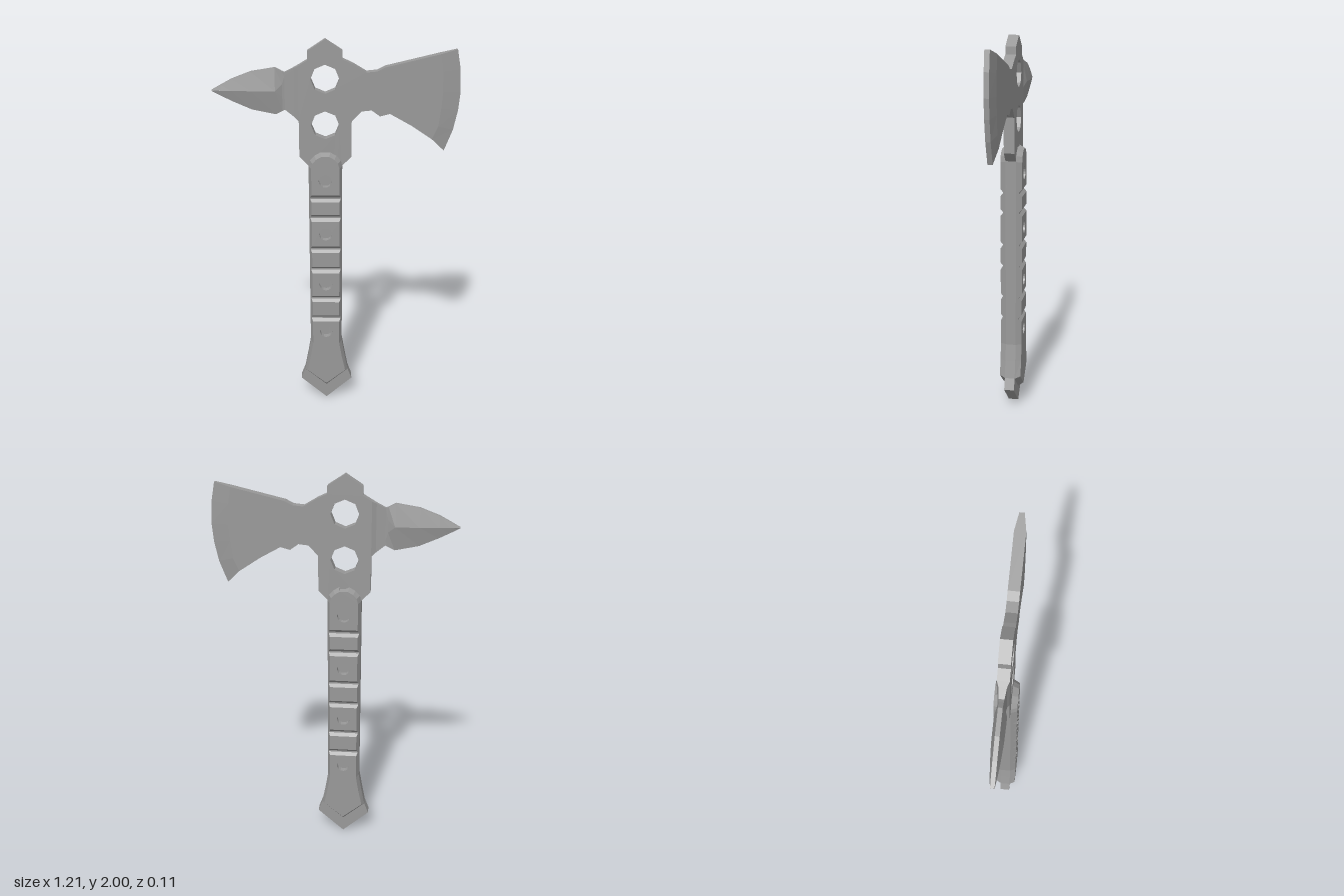
import * as THREE from 'three';

const CX = -0.053;      // handle axis
const PLATE = 0.027;    // half thickness of the steel plate
const FACE = 0.057;     // half thickness of the grip
const material = new THREE.MeshStandardMaterial({ color: 0x999999, flatShading: true });

function addMesh(parent, name, geometry) {
  const mesh = new THREE.Mesh(geometry, material);
  mesh.name = name;
  parent.add(mesh);
  return mesh;
}

// Skins a list of rings (arrays of [x, y, z]) and closes both ends.
function loft(rings, skip = () => false) {
  const pos = [];
  const tri = (a, b, c) => pos.push(...a, ...b, ...c);
  const n = rings[0].length;
  for (let i = 0; i < rings.length - 1; i++) {
    for (let j = 0; j < n; j++) {
      if (skip(i, j)) continue;
      const k = (j + 1) % n, r = rings[i], s = rings[i + 1];
      tri(r[j], r[k], s[k]);
      tri(r[j], s[k], s[j]);
    }
  }
  const first = rings[0], last = rings[rings.length - 1];
  for (let j = 1; j < n - 1; j++) {
    tri(first[0], first[j + 1], first[j]);
    tri(last[0], last[j], last[j + 1]);
  }
  const g = new THREE.BufferGeometry();
  g.setAttribute('position', new THREE.Float32BufferAttribute(pos, 3));
  g.computeVertexNormals();
  return g;
}

// Outlines run clockwise, holes counter-clockwise, so that hole walls face inwards
const shapeOf = (pts) => new THREE.Shape(pts.map(([x, y]) => new THREE.Vector2(x, y)));

function roundHole(x, y, r, sides) {
  const pts = [];
  for (let i = 0; i < sides; i++) {
    const a = Math.PI / 2 + (i / sides) * Math.PI * 2;
    pts.push(new THREE.Vector2(x + r * Math.cos(a), y + r * Math.sin(a)));
  }
  return new THREE.Path(pts);
}

function slab(shape, z, depth) {
  return new THREE.ExtrudeGeometry(shape, { depth, bevelEnabled: false }).translate(0, 0, z);
}

// Blade bevel: inner line and cutting edge, bottom to top
const bevelInner = [[0.476, 1.515], [0.505, 1.58], [0.515, 1.67], [0.52, 1.75], [0.515, 1.85], [0.5, 1.932]];
const bevelOuter = [[0.54, 1.453], [0.58, 1.56], [0.6, 1.66], [0.607, 1.75], [0.6, 1.86], [0.582, 1.953]];

// Steel plate: head, tang and pommel in one piece, with two holes in the head
function plateGeometry() {
  const tangRight = [[0.085, 1.378], [0.085, 0.37], [0.1, 0.28], [0.118, 0.185], [0.14, 0.125]];
  const shape = shapeOf([
    [CX, 2], [0.032, 1.945], [0.032, 1.907], [0.08, 1.885], [0.148, 1.845], [0.2, 1.85], [0.24, 1.87],
    ...[...bevelInner].reverse(),
    [0.37, 1.585], [0.265, 1.643], [0.217, 1.63], [0.175, 1.66], [0.127, 1.655], [0.078, 1.605], [0.078, 1.425],
    ...tangRight.map(([w, y]) => [CX + w, y]),
    [CX, 0],
    ...[...tangRight].reverse().map(([w, y]) => [CX - w, y]),
    [-0.183, 1.425], [-0.183, 1.605], [-0.183, 1.875], [-0.138, 1.902], [-0.138, 1.945],
  ]);
  shape.holes.push(roundHole(CX, 1.812, 0.07, 8), roundHole(CX, 1.585, 0.07, 8));
  return slab(shape, -PLATE, PLATE * 2);
}

function bladeEdgeGeometry() {
  return loft(bevelInner.map(([xi, yi], i) => {
    const [xo, yo] = bevelOuter[i];
    return [[xi, yi, PLATE], [xo, yo, 0.012], [xo, yo, -0.012], [xi, yi, -PLATE]];
  }));
}

// Thin neck and ridged spike: x, bottom, top, rim half thickness, ridge half thickness, ridge half width
function spikeGeometry() {
  const m = 1.754;
  const sections = [
    [-0.183, 1.605, 1.875, 0.027, 0.027, 0.11],
    [-0.205, 1.625, 1.864, 0.018, 0.018, 0.1],
    [-0.25, 1.66, 1.842, 0.012, 0.012, 0.07],
    [-0.262, 1.654, 1.847, 0.011, 0.014, 0.03],
    [-0.296, 1.637, 1.865, 0.01, 0.028, 0],
    [-0.413, 1.661, 1.846, 0.01, 0.027, 0],
    [-0.508, 1.702, 1.81, 0.01, 0.021, 0],
    [-0.56, 1.728, 1.782, 0.01, 0.016, 0],
    [-0.607, 1.752, 1.756, 0.009, 0.01, 0],
  ];
  return loft(sections.map(([x, yb, yt, r, R, w]) => [
    [x, m - w, R], [x, m + w, R], [x, yt, r], [x, yt, -r],
    [x, m + w, -R], [x, m - w, -R], [x, yb, -r], [x, yb, r],
  ]));
}

// Grip rows, top to bottom: outer y, outer half width, face y, face half width, face z
function gripRows() {
  const rows = [
    [1.447, 0.025, 1.432, 0.02, FACE],
    [1.43, 0.055, 1.417, 0.046, FACE],
    [1.405, 0.078, 1.397, 0.064, FACE],
    [1.375, 0.085, 1.37, 0.071, FACE],
  ];
  for (const y of [1.21, 1.104, 0.928, 0.811, 0.639, 0.521]) {
    for (const [d, w, z] of [[0.019, 0.071, FACE], [0.004, 0.078, 0.042], [-0.004, 0.078, 0.042], [-0.019, 0.071, FACE]]) {
      rows.push([y + d, 0.085, y + d, w, z]);
    }
  }
  rows.push(
    [0.37, 0.085, 0.37, 0.071, FACE],
    [0.28, 0.1, 0.28, 0.086, FACE],
    [0.185, 0.118, 0.195, 0.104, FACE],
    [0.085, 0.002, 0.11, 0.002, FACE],
  );
  return rows;
}

function buildGrip() {
  const grip = new THREE.Group();
  grip.name = 'grip';
  const rows = gripRows();
  const flat = (i) => rows[i][4] === FACE;

  // Chamfered sides and grooves; the flat faces are left open for the panels
  addMesh(grip, 'gripSides', loft(
    rows.map(([yo, w, yi, v, z]) => [
      [CX + w, yo, PLATE], [CX + v, yi, z], [CX - v, yi, z], [CX - w, yo, PLATE],
      [CX - w, yo, -PLATE], [CX - v, yi, -z], [CX + v, yi, -z], [CX + w, yo, -PLATE],
    ]),
    (i, j) => (j === 1 || j === 5) && flat(i) && flat(i + 1),
  ));

  // Flat panels between the grooves, some with a bolt hole down to the tang
  const panels = [[]];
  rows.forEach((row, i) => {
    if (flat(i)) panels[panels.length - 1].push(row);
    else if (panels[panels.length - 1].length) panels.push([]);
  });
  for (const panel of panels) {
    const shape = shapeOf([
      ...panel.map((r) => [CX + r[3], r[2]]),
      ...[...panel].reverse().map((r) => [CX - r[3], r[2]]),
    ]);
    for (const y of [1.305, 1.015, 0.725, 0.44]) {
      if (y < panel[0][2] && y > panel[panel.length - 1][2]) shape.holes.push(roundHole(CX, y, 0.034, 16));
    }
    addMesh(grip, 'gripPanelFront', slab(shape, PLATE, FACE - PLATE));
    addMesh(grip, 'gripPanelBack', slab(shape, -FACE, FACE - PLATE));
  }
  return grip;
}

export function createModel() {
  const model = new THREE.Group();
  model.name = 'tomahawk';
  addMesh(model, 'headAndTang', plateGeometry());
  addMesh(model, 'bladeEdge', bladeEdgeGeometry());
  addMesh(model, 'spike', spikeGeometry());
  model.add(buildGrip());
  return model;
}
